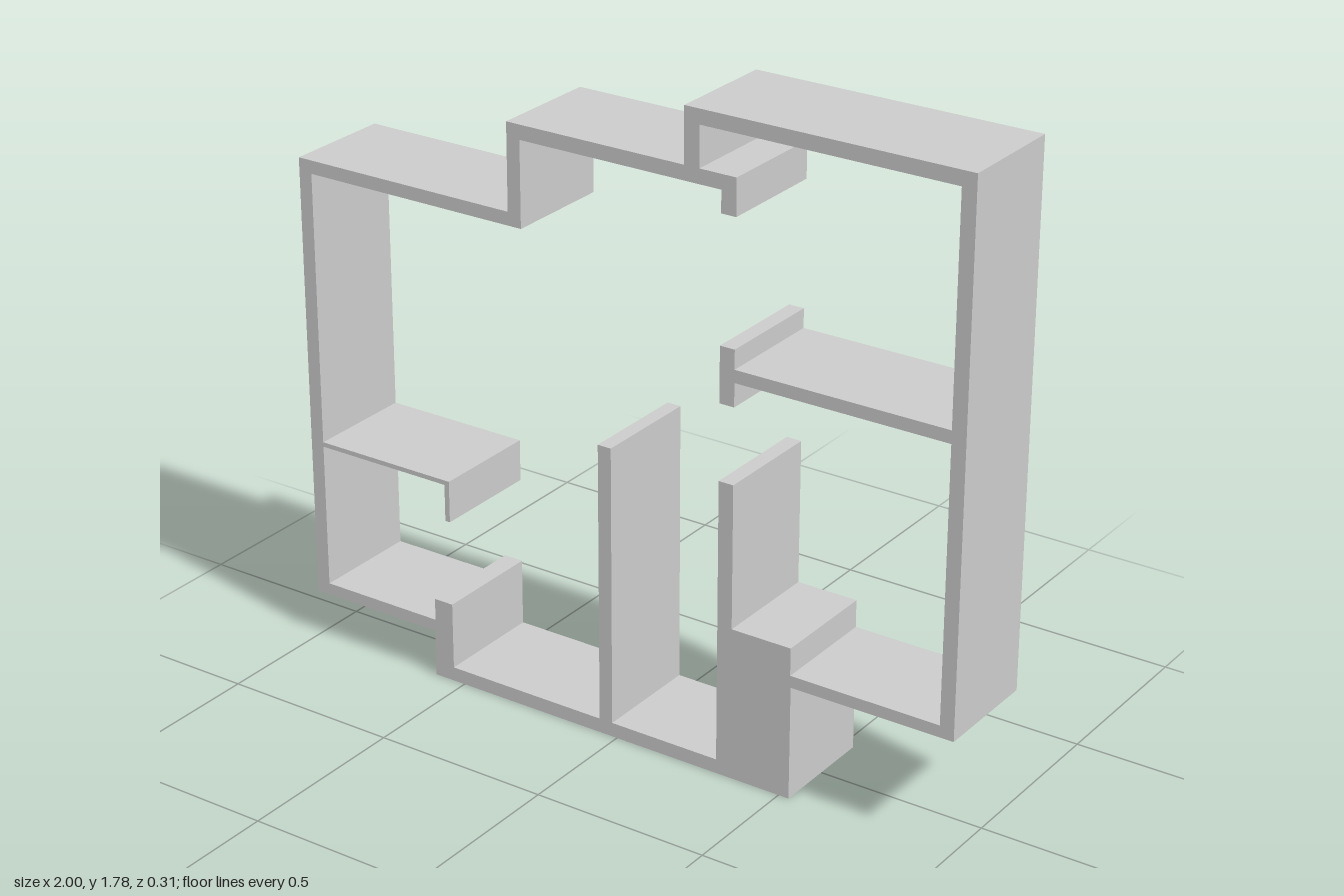
import * as THREE from 'three';

const DEPTH = 0.31;

export function createModel() {
  const group = new THREE.Group();
  group.name = 'floorPlanWalls';
  const material = new THREE.MeshStandardMaterial({ color: 0xcccccc, flatShading: true });
  const points = (list) => list.map(([x, y]) => new THREE.Vector2(x, y));

  // Extrude a plan outline through the wall height, centred on z
  const addWall = (name, outline, hole) => {
    const shape = new THREE.Shape(points(outline));
    if (hole) shape.holes.push(new THREE.Path(points(hole)));
    const geometry = new THREE.ExtrudeGeometry(shape, { depth: DEPTH, bevelEnabled: false });
    geometry.translate(0, 0, -DEPTH / 2);
    const mesh = new THREE.Mesh(geometry, material);
    mesh.name = name;
    group.add(mesh);
  };

  // Stepped outer walls, with the thick block, door stubs and corridor wall joined on
  addWall('outerWalls', [
    [-0.595, 0], [0.53, 0], [0.53, 0.32], [0.997, 0.32], [0.997, 1.785],
    [0.203, 1.785], [0.203, 1.635], [-0.325, 1.635], [-0.325, 1.397],
    [-1, 1.397], [-1, 0.133], [-0.595, 0.133],
  ], [
    [-0.96, 0.167], [-0.593, 0.167], [-0.593, 0.23], [-0.535, 0.23], [-0.535, 0.04],
    [0.31, 0.04], [0.31, 0.83], [0.353, 0.83], [0.353, 0.43], [0.528, 0.43],
    [0.528, 0.353], [0.957, 0.353], [0.957, 1.745], [0.247, 1.745], [0.247, 1.635],
    [0.353, 1.635], [0.353, 1.535], [0.31, 1.535], [0.31, 1.595],
    [-0.285, 1.595], [-0.285, 1.36], [-0.96, 1.36],
  ]);

  // Straight partition between the two corridors
  addWall('middlePartition', [[-0.055, 0.04], [-0.015, 0.04], [-0.015, 0.83], [-0.055, 0.83]]);

  // T-shaped partition between the rooms on the left
  addWall('teePartition', [
    [0.31, 1.04], [0.353, 1.04], [0.353, 1.105], [0.957, 1.105],
    [0.957, 1.14], [0.353, 1.14], [0.353, 1.193], [0.31, 1.193],
  ]);

  // Thin hooked partition of the small room on the right
  addWall('hookedPartition', [
    [-0.96, 0.58], [-0.55, 0.58], [-0.55, 0.475], [-0.535, 0.475], [-0.535, 0.593], [-0.96, 0.593],
  ]);

  return group;
}
